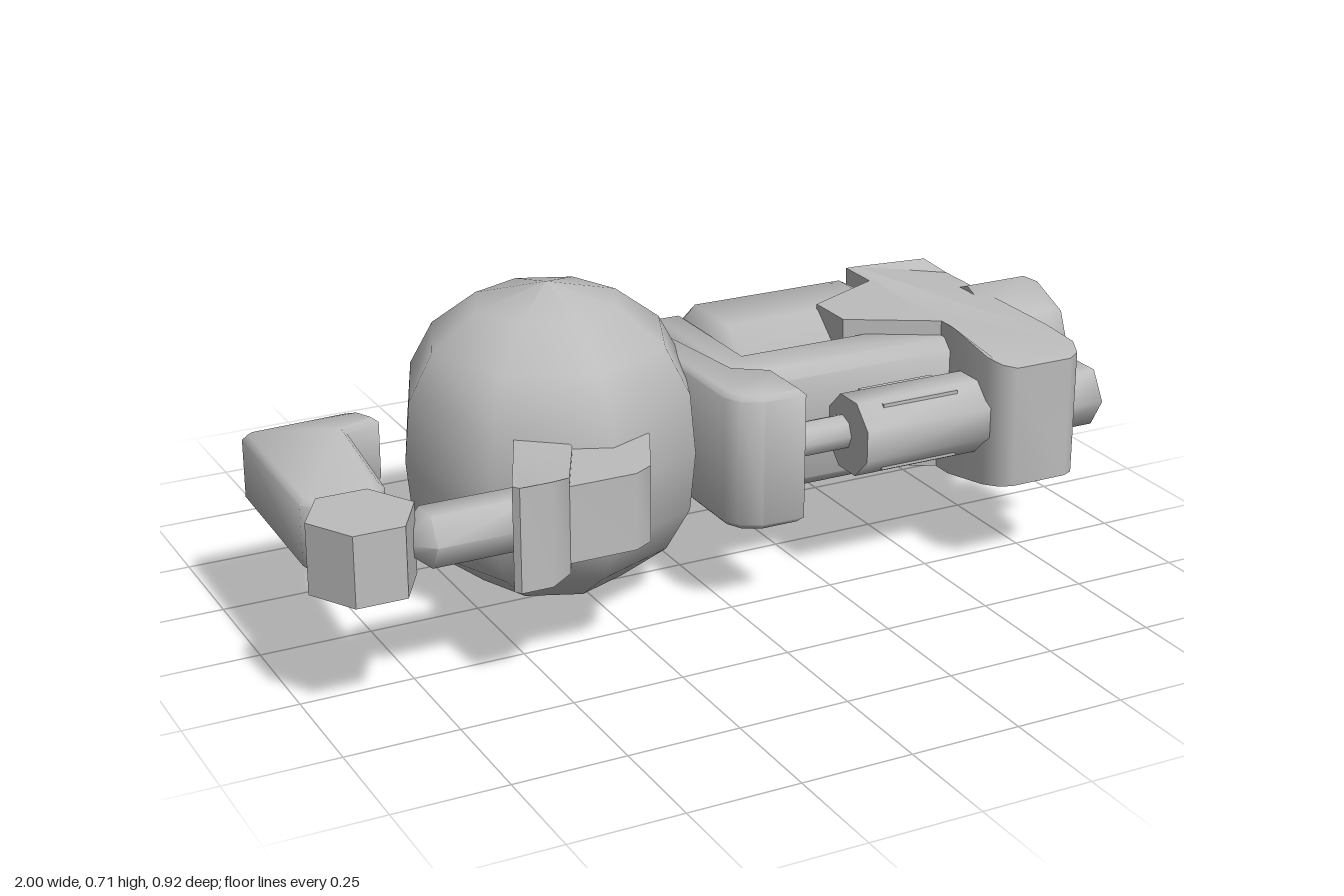
import * as THREE from 'three';
import { toCreasedNormals } from 'three/addons/utils/BufferGeometryUtils.js';

const MID = 0.362; // height of the common centre line

export function createModel() {
  const model = new THREE.Group();
  model.name = 'mechanicalArm';
  const metal = new THREE.MeshStandardMaterial({ color: 0xbcbcbc });
  metal.name = 'grey metal';

  function add(name, geometry, x = 0, y = 0, z = 0) {
    const mesh = new THREE.Mesh(geometry, metal);
    mesh.name = name;
    mesh.position.set(x, y, z);
    model.add(mesh);
    return mesh;
  }

  // Solid of revolution along x; profile is [radius, x] from low x to high x
  function barrel(name, profile, sides, z, phase = 0, flatten = 1) {
    const pts = [[0, profile[0][1]], ...profile, [0, profile[profile.length - 1][1]]];
    const geo = new THREE.LatheGeometry(pts.map(([r, x]) => new THREE.Vector2(r, x)), sides, phase);
    geo.rotateZ(-Math.PI / 2);
    geo.scale(1, flatten, 1);
    return add(name, toCreasedNormals(geo, 1.1), 0, MID, z);
  }

  // Plan outline of [x, z] corners raised from y0 to y1, with optional bevel and height rule
  function plate(name, outline, y0, y1, bevel = 0, heightAt = null) {
    const shape = new THREE.Shape(outline.map(([x, z]) => new THREE.Vector2(x, -z)));
    const geo = new THREE.ExtrudeGeometry(shape, {
      depth: y1 - y0 - 2 * bevel, bevelEnabled: bevel > 0, bevelThickness: bevel,
      bevelSize: bevel, bevelOffset: -bevel, bevelSegments: 1,
    });
    geo.rotateX(-Math.PI / 2);
    geo.translate(0, y0 + bevel, 0);
    if (heightAt) {
      const p = geo.attributes.position;
      for (let i = 0; i < p.count; i++) {
        p.setY(i, MID + (p.getY(i) - MID) * heightAt(p.getX(i), p.getZ(i)));
      }
    }
    return add(name, toCreasedNormals(geo, 0.85));
  }

  // Shoulder ball
  const ball = [[0, -0.357], [0.165, -0.315], [0.27, -0.235], [0.325, -0.135], [0.338, 0],
    [0.325, 0.135], [0.27, 0.235], [0.165, 0.315], [0, 0.357]];
  add('shoulderBall', new THREE.LatheGeometry(ball.map(([r, y]) => new THREE.Vector2(r, y)), 8),
    -0.3, 0.358, -0.045);

  // Bracket behind the ball, flaring towards it
  plate('rearBracket', [[-0.39, -0.46], [-0.16, -0.46], [-0.11, -0.35], [-0.09, -0.285], [-0.09, -0.2],
    [-0.49, -0.2], [-0.49, -0.285], [-0.455, -0.35]], MID - 0.125, MID + 0.125, 0,
  (x, z) => 0.54 + 0.46 * THREE.MathUtils.clamp((z + 0.46) / 0.175, 0, 1));

  // Brackets in front of the ball
  plate('frontBracket', [[-0.6, 0.44], [-0.49, 0.2], [-0.44, 0.1], [-0.34, 0.15], [-0.38, 0.25],
    [-0.47, 0.43], [-0.52, 0.455], [-0.59, 0.455]], 0.247, 0.477, 0,
  (x) => 1 - 0.2 * THREE.MathUtils.clamp((x + 0.52) / 0.12, 0, 1));
  plate('frontBracketArm', [[-0.5, 0.43], [-0.32, 0.43], [-0.275, 0.405], [-0.2, 0.25], [-0.2, 0.1],
    [-0.42, 0.1]], 0.278, 0.448);

  // Small folded arm: rod, elbow and lower arm
  barrel('elbowRod', [[0.03, -0.79], [0.065, -0.75], [0.065, -0.52]], 6, 0.348);
  plate('elbow', [[-1, 0.345], [-0.94, 0.45], [-0.83, 0.45], [-0.77, 0.345], [-0.83, 0.24],
    [-0.94, 0.24]], 0.287, 0.442);
  plate('lowerArm', [[-0.94, 0.26], [-0.97, 0.23], [-0.96, -0.16], [-0.94, -0.175], [-0.72, -0.187],
    [-0.69, -0.18], [-0.665, -0.125], [-0.75, -0.09], [-0.785, 0.22], [-0.81, 0.26]], 0.285, 0.44, 0.012);

  // Angled frame holding the large drum
  plate('frameEnd', [[-0.035, -0.2], [0.02, -0.2], [0.06, 0.14], [0.13, 0.19], [0.13, 0.335],
    [0.03, 0.335], [-0.015, 0.31], [-0.035, 0.27]], 0.212, 0.52, 0.012);
  plate('frameSide', [[0.04, -0.24], [0.06, -0.275], [0.15, -0.275], [0.15, 0.03], [0.62, 0.03],
    [0.62, 0.18], [0.1, 0.18], [0.04, 0.12]], 0.215, 0.505, 0.025);

  // Large eight-sided drum
  barrel('drum', [[0.17, 0.12], [0.21, 0.165], [0.21, 0.55], [0.17, 0.61]], 8, -0.165, Math.PI / 8, 0.85);

  // Large end block with a tongue gripping the drum
  plate('endBlock', [[0.4, -0.09], [0.595, -0.18], [0.595, -0.287], [0.62, -0.287], [0.8, -0.265],
    [0.843, -0.23], [0.843, 0.19], [0.82, 0.33], [0.8, 0.375], [0.77, 0.393], [0.63, 0.393],
    [0.605, 0.37], [0.592, 0.33], [0.592, 0.19], [0.592, 0.14], [0.4, 0.03]], 0.185, 0.539, 0,
  (x, z) => Math.min(x > 0.83 ? 0.82 : 1, 1 - 0.21 * THREE.MathUtils.clamp((z - 0.19) / 0.205, 0, 1)));

  // Round cap and small knob on the outer face
  barrel('endCap', [[0.165, 0.8], [0.165, 0.96], [0.145, 1]], 8, -0.073);
  barrel('endKnob', [[0.076, 0.75], [0.076, 0.895]], 6, 0.275);

  // Front piston
  barrel('pistonRod', [[0.04, 0.1], [0.04, 0.32]], 8, 0.237);
  barrel('pistonSleeve', [[0.092, 0.28], [0.092, 0.62]], 8, 0.26, Math.PI / 8);
  plate('pistonRib', [[0.34, 0.2], [0.53, 0.2], [0.53, 0.31], [0.34, 0.31]], 0.285, 0.44);

  // Rear piston with its collar and stem
  barrel('rearRod', [[0.058, -0.17], [0.058, 0.115]], 6, -0.348);
  barrel('rearCollar', [[0.075, -0.033], [0.075, 0.045]], 6, -0.353);
  const stem = new THREE.CylinderGeometry(0.028, 0.028, 0.16, 6);
  stem.rotateX(Math.PI / 2);
  add('rearStem', stem, 0.005, MID, -0.24);
  const stemRing = new THREE.CylinderGeometry(0.04, 0.04, 0.05, 6);
  stemRing.rotateX(Math.PI / 2);
  add('rearStemRing', stemRing, 0.005, MID, -0.26);

  return model;
}
